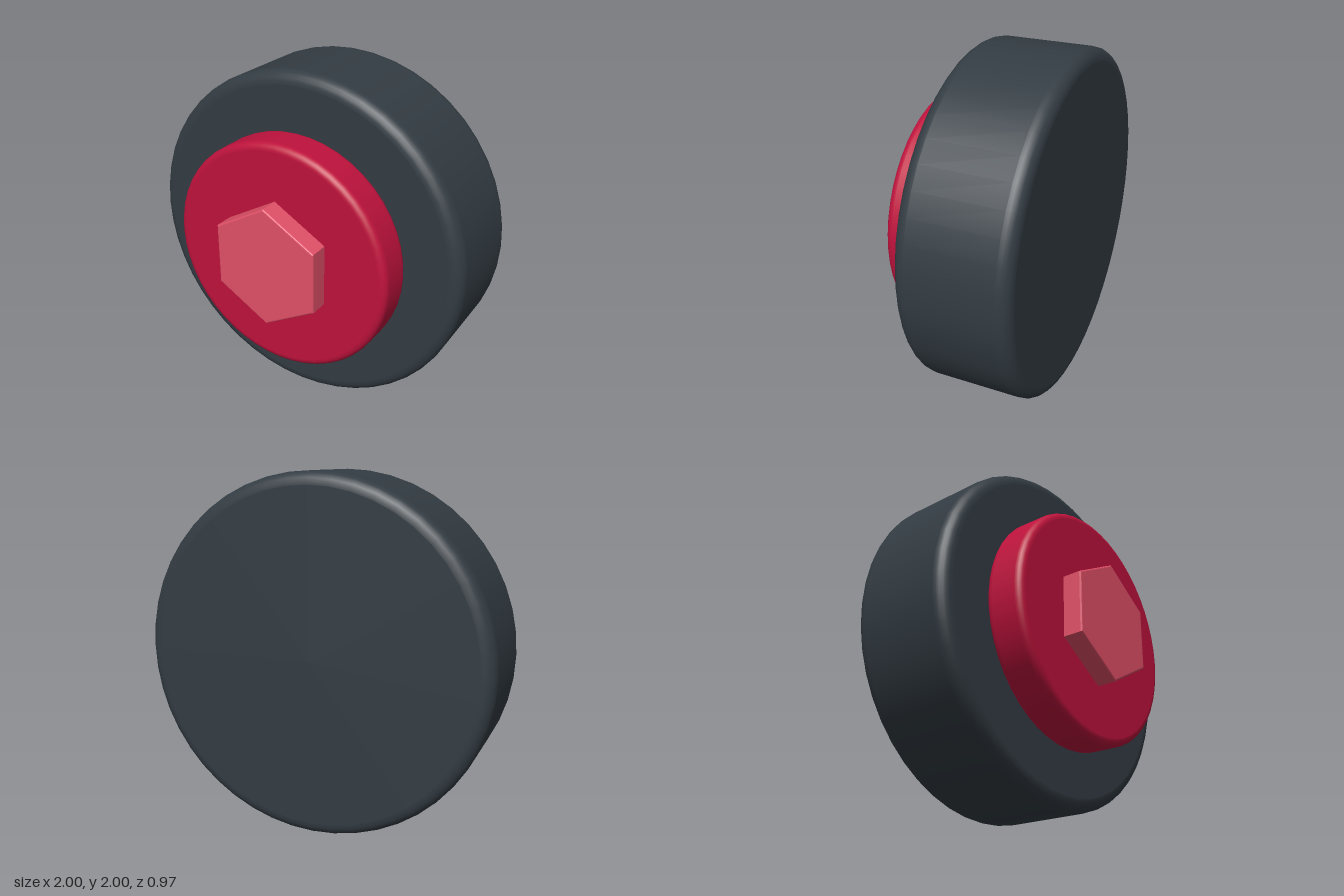
import * as THREE from 'three';

const material = (name, color) => {
  const m = new THREE.MeshStandardMaterial({ color });
  m.name = name;
  return m;
};

// Solid disc along z with rounded rims and flat faces
function roundedDisc(radius, back, front, bevel) {
  const points = [new THREE.Vector2(0, back), new THREE.Vector2(radius - bevel - 0.002, back)];
  const steps = 6;
  for (const [z, start] of [[back + bevel, -Math.PI / 2], [front - bevel, 0]]) {
    for (let i = 0; i <= steps; i++) {
      const a = start + (i / steps) * (Math.PI / 2);
      points.push(new THREE.Vector2(radius - bevel + Math.cos(a) * bevel, z + Math.sin(a) * bevel));
    }
    // Short support band keeps the side wall straight in shading
    if (start < 0) {
      points.push(new THREE.Vector2(radius, back + bevel + 0.002));
      points.push(new THREE.Vector2(radius, front - bevel - 0.002));
    }
  }
  points.push(new THREE.Vector2(radius - bevel - 0.002, front), new THREE.Vector2(0, front));
  return new THREE.LatheGeometry(points, 48).rotateX(Math.PI / 2);
}

// Hexagonal block along z, one corner pointing up
function hexBlock(radius, back, front, bevel) {
  const inner = radius - bevel / Math.cos(Math.PI / 6);
  const corners = [];
  for (let i = 0; i < 6; i++) {
    const a = Math.PI / 2 + (i * Math.PI) / 3;
    corners.push(new THREE.Vector2(Math.cos(a) * inner, Math.sin(a) * inner));
  }
  return new THREE.ExtrudeGeometry(new THREE.Shape(corners), {
    depth: front - back - 2 * bevel,
    bevelEnabled: true,
    bevelThickness: bevel,
    bevelSize: bevel,
    bevelSegments: 3,
  }).translate(0, 0, back + bevel);
}

export function createModel() {
  const wheel = new THREE.Group();
  wheel.name = 'wheel';

  const add = (name, geometry, mat) => {
    const mesh = new THREE.Mesh(geometry, mat);
    mesh.name = name;
    mesh.position.y = 1;
    wheel.add(mesh);
  };

  add('tire', roundedDisc(1, -0.487, 0.147, 0.07), material('dark rubber', 0x333c43));
  add('hub', roundedDisc(0.68, 0.14, 0.373, 0.04), material('crimson', 0xbe123c));
  add('hexNut', hexBlock(0.36, 0.33, 0.487, 0.01), material('light red', 0xe25068));

  return wheel;
}
